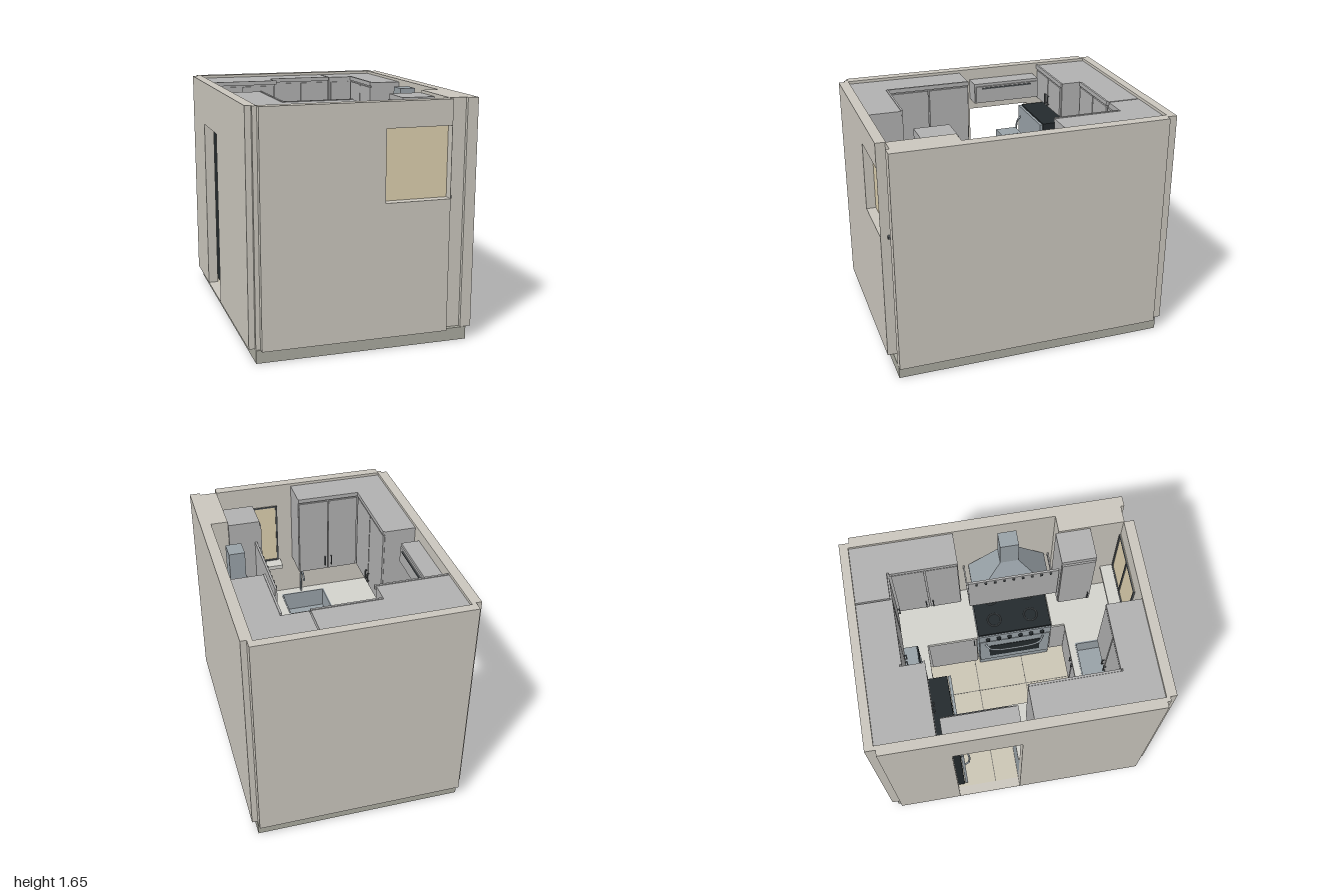
import * as THREE from 'three';

const mat = (color, side = THREE.FrontSide) => new THREE.MeshStandardMaterial({ color, side });

export function createModel() {
  const root = new THREE.Group();
  const wall = mat(0xcac6bd), base = mat(0xaaaa9f), floorM = mat(0xcbc5b5), line = mat(0x77766f);
  const cab = mat(0xb0b0b0), counter = mat(0xd2d2cc), steel = mat(0x98a1a7), dark = mat(0x242a2d);
  const pane = mat(0xdccfae), metal = mat(0x555a5d), steel2 = mat(0x98a1a7, THREE.DoubleSide);

  const add = (name, geo, m) => {
    const mesh = new THREE.Mesh(geo, m);
    mesh.name = name;
    root.add(mesh);
    return mesh;
  };
  // box from its bounds
  const box = (name, m, x0, x1, y0, y1, z0, z1) => {
    const b = add(name, new THREE.BoxGeometry(x1 - x0, y1 - y0, z1 - z0), m);
    b.position.set((x0 + x1) / 2, (y0 + y1) / 2, (z0 + z1) / 2);
    return b;
  };
  const tube = (name, m, r, pts) => add(name, new THREE.TubeGeometry(
    new THREE.CatmullRomCurve3(pts.map(p => new THREE.Vector3(...p))), 20, r, 8), m);

  // door panels with bar handles on a plane; axis is the facing direction
  const doors = (axis, sign, plane, a0, a1, y0, y1, n, handleY) => {
    const put = (name, m, u0, u1, v0, v1, d0, d1) => {
      const p = [plane + sign * d0, plane + sign * d1].sort((p, q) => p - q);
      if (axis === 'x') box(name, m, p[0], p[1], v0, v1, u0, u1);
      else box(name, m, u0, u1, v0, v1, p[0], p[1]);
    };
    const w = (a1 - a0) / n;
    for (let i = 0; i < n; i++) {
      const s = a0 + i * w;
      put('cabinetDoor', cab, s + 0.005, s + w - 0.005, y0 + 0.006, y1 - 0.006, 0, 0.012);
      const h = i % 2 ? s + 0.025 : s + w - 0.025;
      put('doorHandle', metal, h - 0.004, h + 0.004, handleY - 0.04, handleY + 0.04, 0.022, 0.03);
      for (const e of [-0.035, 0.03])
        put('handlePost', metal, h - 0.003, h + 0.003, handleY + e, handleY + e + 0.006, 0.01, 0.024);
    }
  };

  // floor slab and tile joints
  box('floorSlab', base, -0.73, 0.73, 0, 0.088, -0.96, 0.96);
  box('floor', floorM, -0.7, 0.69, 0.088, 0.092, -0.94, 0.93);
  for (const x of [-0.32, 0.06]) box('tileJoint', line, x - 0.003, x + 0.003, 0.09, 0.0935, -0.93, 0.92);
  for (const z of [-0.55, -0.18, 0.2, 0.58]) box('tileJoint', line, -0.7, 0.68, 0.09, 0.0935, z - 0.003, z + 0.003);

  // walls: back, right with corner chase, left with doorway, front with window
  const B = 0.09, T = 1.65;
  box('backWall', wall, -0.73, 0.725, B, T, -1, -0.94);
  box('rightWall', wall, 0.69, 0.765, B, T, -0.93, 0.96);
  box('backCorner', wall, 0.69, 0.725, B, T, -0.94, -0.93);
  box('cornerChase', wall, 0.57, 0.69, B, T, 0.48, 0.935);
  const slab = (name, w, hole, depth) => {
    const [u0, u1] = w, s = new THREE.Shape();
    s.moveTo(u0, B).lineTo(u1, B).lineTo(u1, T).lineTo(u0, T).closePath();
    const [a, b, c, d] = hole, h = new THREE.Path();
    h.moveTo(a, c).lineTo(a, d).lineTo(b, d).lineTo(b, c).closePath();
    s.holes.push(h);
    return add(name, new THREE.ExtrudeGeometry(s, { depth, bevelEnabled: false }), wall);
  };
  const left = slab('leftWall', [-0.93, 0.93], [0.0, 0.47, B + 0.002, 1.335], 0.07);
  left.rotation.y = Math.PI / 2;
  left.position.x = -0.77;
  box('leftBackCorner', wall, -0.73, -0.7, B, T, -0.94, -0.93);
  slab('frontWall', [-0.7, 0.57], [0.12, 0.568, 1.0, 1.48], 0.07).position.z = 0.93;
  box('leftFrontCorner', wall, -0.73, -0.7, B, T, 0.93, 0.955);

  // window: blind panes, frame bars, sill and catch
  box('windowPane', pane, 0.12, 0.57, 1.0, 1.48, 0.927, 0.935);
  for (const x of [0.12, 0.345, 0.56]) box('windowFrame', metal, x - 0.006, x + 0.006, 1.0, 1.48, 0.918, 0.93);
  for (const y of [1.0, 1.47]) box('windowFrame', metal, 0.12, 0.565, y, y + 0.01, 0.918, 0.93);
  box('windowSill', counter, 0.1, 0.57, 0.97, 1.0, 0.83, 0.93);
  box('windowCatch', metal, 0.57, 0.598, 0.99, 1.008, 0.93, 0.955);

  // upper cabinets
  const U0 = 1.0, U1 = 1.63;
  box('fridgeCabinet', cab, -0.7, -0.2, 1.37, U1, -0.94, -0.56);
  doors('z', 1, -0.56, -0.69, -0.21, 1.37, 1.6, 2, 1.43);
  box('backUpperCabinet', cab, -0.2, 0.275, U0, U1, -0.94, -0.71);
  doors('z', 1, -0.71, -0.19, 0.275, U0, 1.6, 2, 1.08);
  box('cornerUpperCabinet', cab, 0.285, 0.69, U0, U1, -0.94, -0.71);
  doors('z', 1, -0.71, 0.29, 0.45, U0, 1.6, 1, 1.08);
  box('rightUpperCabinet', cab, 0.47, 0.69, U0, U1, -0.71, -0.23);
  doors('x', -1, 0.47, -0.69, -0.23, U0, 1.6, 2, 1.08);
  box('leftUpperCabinet', cab, -0.7, -0.475, U0, U1, 0.08, 0.93);
  doors('x', 1, -0.475, 0.08, 0.69, U0, 1.6, 2, 1.08);
  box('frontUpperCabinet', cab, -0.475, 0, U0, U1, 0.7, 0.93);
  doors('z', -1, 0.7, -0.46, 0, U0, 1.6, 2, 1.08);
  box('windowSideCabinet', cab, 0.345, 0.57, U0, U1, 0.46, 0.7);
  doors('x', -1, 0.345, 0.46, 0.7, U0, 1.6, 1, 1.08);
  // crown strips along the cabinet tops
  box('crown', cab, -0.7, -0.19, 1.605, 1.635, -0.56, -0.545);
  box('crown', cab, -0.19, 0.275, 1.605, 1.635, -0.71, -0.695);
  box('crown', cab, 0.455, 0.47, 1.605, 1.635, -0.695, -0.23);
  box('crown', cab, -0.475, -0.46, 1.605, 1.635, 0.08, 0.69);
  box('crown', cab, -0.46, 0, 1.605, 1.635, 0.687, 0.7);
  // cabinet above the doorway
  box('overDoorCabinet', cab, -0.7, -0.57, 1.42, 1.57, -0.51, 0);
  box('overDoorFlap', cab, -0.57, -0.56, 1.43, 1.55, -0.5, -0.01);
  box('flapHandle', metal, -0.56, -0.552, 1.53, 1.54, -0.45, -0.06);

  // base cabinets
  const C0 = 0.66, C1 = 0.695;
  const run = (x0, x1, z0, z1, top = C0) => box('baseCabinet', cab, x0, x1, 0.15, top, z0, z1);
  box('toeKick', dark, -0.2, 0.67, B, 0.15, -0.93, -0.6);
  box('toeKick', dark, 0.36, 0.67, B, 0.15, -0.6, -0.16);
  box('toeKick', dark, -0.7, -0.36, B, 0.15, 0.02, 0.9);
  box('toeKick', dark, -0.36, 0.56, B, 0.15, 0.6, 0.9);
  run(-0.2, 0.69, -0.94, -0.56);
  doors('z', 1, -0.56, -0.19, 0.3, 0.15, C0, 2, 0.57);
  run(0.31, 0.69, -0.56, -0.15);
  doors('x', -1, 0.31, -0.53, -0.15, 0.15, C0, 1, 0.57);
  run(-0.7, -0.31, 0.02, 0.55);
  box('dishwasherSide', steel, -0.7, -0.31, B, C0, 0, 0.02);
  doors('x', 1, -0.31, 0.02, 0.52, 0.15, C0, 1, 0.57);
  run(-0.7, 0.57, 0.55, 0.93, 0.53);
  box('sinkRail', cab, -0.7, 0.57, 0.53, C0, 0.55, 0.565);
  doors('z', -1, 0.55, -0.28, 0.3, 0.15, C0, 2, 0.57);
  run(0.31, 0.69, 0.43, 0.55);

  // countertops, the front one with a sink cut-out
  box('backCounter', counter, -0.2, 0.69, C0, C1, -0.94, -0.53);
  box('rightCounter', counter, 0.28, 0.69, C0, C1, -0.53, -0.145);
  box('stoveSideCounter', counter, 0.28, 0.69, C0, C1, 0.425, 0.52);
  box('leftCounter', counter, -0.7, -0.29, C0, C1, -0.01, 0.52);
  const top = new THREE.Shape(), cut = new THREE.Path();
  top.moveTo(-0.7, -0.93).lineTo(0.57, -0.93).lineTo(0.57, -0.52).lineTo(-0.7, -0.52).closePath();
  cut.moveTo(-0.24, -0.86).lineTo(-0.24, -0.57).lineTo(0.11, -0.57).lineTo(0.11, -0.86).closePath();
  top.holes.push(cut);
  const sinkTop = add('sinkCounter', new THREE.ExtrudeGeometry(top, { depth: C1 - C0, bevelEnabled: false }), counter);
  sinkTop.rotation.x = -Math.PI / 2;
  sinkTop.position.y = C0;

  // sink basin and tap
  box('sinkFloor', steel, -0.24, 0.11, 0.54, 0.55, 0.57, 0.86);
  for (const x of [-0.24, 0.1]) box('sinkSide', steel, x, x + 0.01, 0.55, 0.7, 0.57, 0.86);
  for (const z of [0.57, 0.85]) box('sinkSide', steel, -0.24, 0.11, 0.55, 0.7, z, z + 0.01);
  tube('tap', steel, 0.008, [[-0.06, 0.69, 0.89], [-0.06, 0.86, 0.89], [-0.06, 0.9, 0.84], [-0.06, 0.85, 0.78]]);

  // fridge
  box('fridgeBody', dark, -0.68, -0.21, B, 1.33, -0.93, -0.42);
  box('fridgeLowerDoor', steel, -0.68, -0.21, 0.12, 0.94, -0.415, -0.395);
  box('fridgeUpperDoor', steel, -0.68, -0.21, 0.95, 1.325, -0.415, -0.395);
  for (const [a, b] of [[0.55, 0.9], [0.99, 1.25]])
    tube('fridgeHandle', steel, 0.007, [[-0.64, a, -0.4], [-0.64, a + 0.04, -0.37], [-0.64, b - 0.04, -0.37], [-0.64, b, -0.4]]);

  // stove with oven door, knobs and bowed handle
  box('stoveBody', steel, 0.3, 0.69, B, 0.68, -0.14, 0.42);
  box('cooktop', dark, 0.29, 0.69, 0.68, 0.7, -0.14, 0.42);
  box('ovenDoor', steel, 0.28, 0.3, 0.2, 0.57, -0.135, 0.415);
  box('ovenGlass', dark, 0.277, 0.282, 0.27, 0.48, -0.06, 0.34);
  box('controlPanel', steel, 0.28, 0.3, 0.58, 0.68, -0.14, 0.42);
  for (let i = 0; i < 6; i++) {
    const k = add('stoveKnob', new THREE.CylinderGeometry(0.014, 0.016, 0.02, 16), dark);
    k.rotation.z = Math.PI / 2;
    k.position.set(0.27, 0.63, -0.07 + i * 0.084);
  }
  tube('ovenHandle', steel, 0.008, [[0.28, 0.53, -0.09], [0.235, 0.53, -0.06], [0.215, 0.53, 0.14], [0.235, 0.53, 0.33], [0.28, 0.53, 0.36]]);
  for (const x of [0.4, 0.58]) for (const z of [0, 0.28]) {
    const r = add('burner', new THREE.TorusGeometry(0.05, 0.005, 6, 24), metal);
    r.rotation.x = Math.PI / 2;
    r.position.set(x, 0.703, z);
  }

  // range hood: tapered canopy, rim, chimney and front board with pegs
  const canopy = new THREE.BoxGeometry(0.29, 0.3, 0.56), p = canopy.attributes.position;
  for (let i = 0; i < p.count; i++) {
    const up = p.getY(i) > 0;
    p.setXYZ(i, up ? (p.getX(i) > 0 ? 0.64 : 0.53) : (p.getX(i) > 0 ? 0.69 : 0.4), up ? 1.4 : 1.12,
      up ? (p.getZ(i) > 0 ? 0.2 : 0.07) : (p.getZ(i) > 0 ? 0.42 : -0.14));
  }
  canopy.computeVertexNormals();
  add('hoodCanopy', canopy, steel2);
  box('hoodRim', steel, 0.4, 0.69, 1.08, 1.12, -0.14, 0.42);
  box('hoodChimney', steel, 0.53, 0.64, 1.36, 1.63, 0.07, 0.2);
  box('hoodBoard', cab, 0.37, 0.385, 1.1, 1.47, -0.18, 0.455);
  for (const z of [-0.18, 0.445]) box('hoodSideBoard', cab, 0.385, 0.69, 1.08, 1.12, z, z + 0.01);
  for (let i = 0; i < 9; i++) box('boardPeg', metal, 0.36, 0.372, 1.44, 1.455, -0.13 + i * 0.065, -0.115 + i * 0.065);

  // microwave on the back counter
  box('microwave', steel, -0.13, 0.21, C1, 0.9, -0.88, -0.61);
  box('microwaveFront', dark, -0.13, 0.21, C1 + 0.005, 0.895, -0.61, -0.598);
  box('microwaveHandle', steel, 0.12, 0.13, 0.72, 0.87, -0.598, -0.588);
  return root;
}
